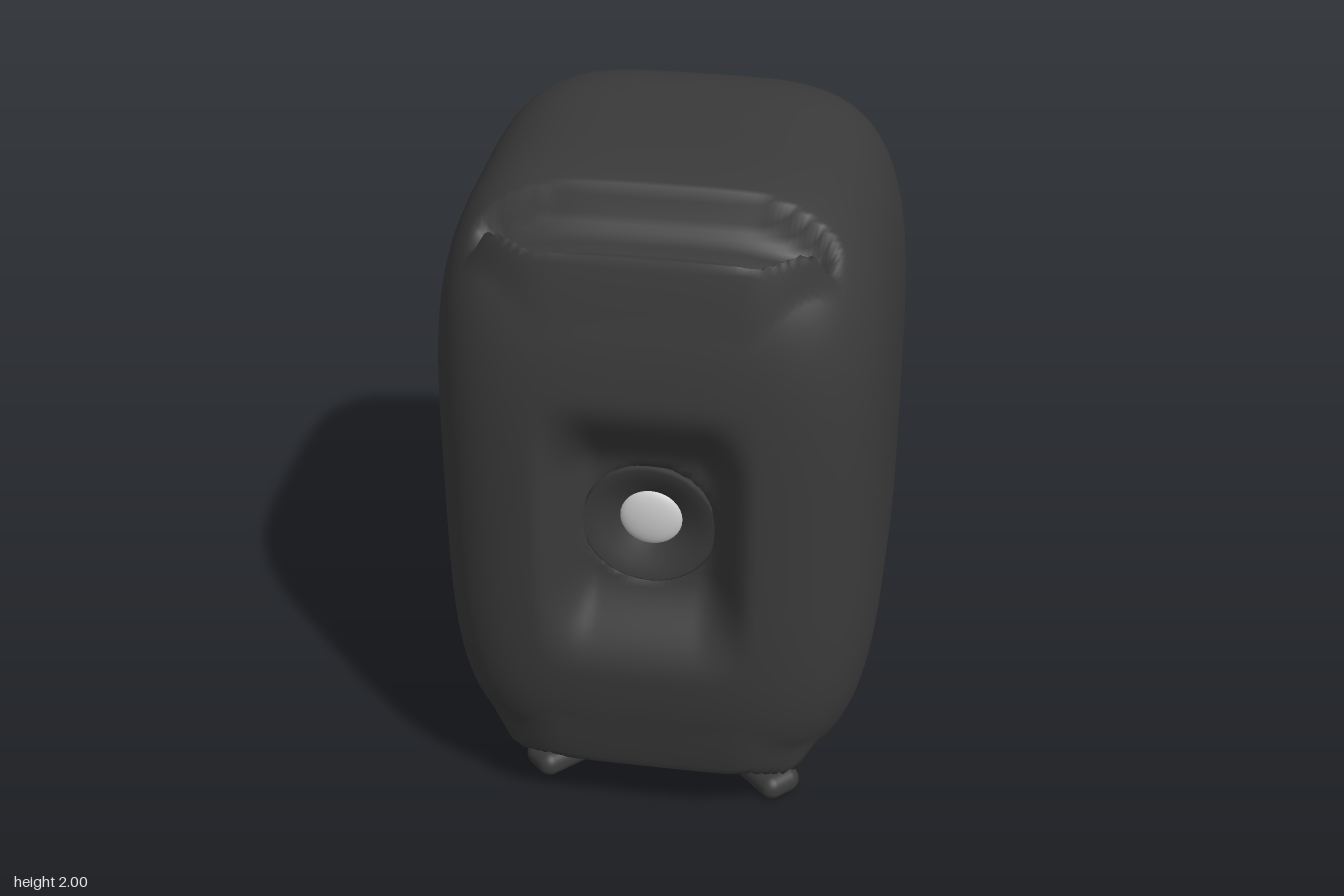
import * as THREE from 'three';
import { mergeVertices } from 'three/addons/utils/BufferGeometryUtils.js';
import { RoundedBoxGeometry } from 'three/addons/geometries/RoundedBoxGeometry.js';

const HALF = { x: 0.62, y: 0.945, z: 0.64 }; // half sizes of the body
const CENTRE_Y = 1.055;
const smooth = THREE.MathUtils.smoothstep;

// Height change across the finger groove: steep back wall, hollow, raised front lip
const GROOVE = [[0.355, 0], [0.375, -0.06], [0.4, -0.082], [0.43, -0.09], [0.49, -0.062],
  [0.53, -0.005], [0.557, 0.072], [0.575, 0.045], [0.6, 0]];

function grooveOffset(x, z) {
  const ax = Math.abs(x);
  // the groove narrows towards its rounded ends
  const end = smooth(ax, 0.25, 0.5);
  const s = (z - 0.355 - 0.035 * end) / (1 - 0.6 * end) + 0.355;
  const fade = 1 - smooth(ax, 0.4, 0.485);
  for (let i = 1; i < GROOVE.length; i++) {
    const [z0, h0] = GROOVE[i - 1], [z1, h1] = GROOVE[i];
    if (s >= z0 && s <= z1) return fade * THREE.MathUtils.lerp(h0, h1, (s - z0) / (z1 - z0));
  }
  return 0;
}

// Soft rectangular dimple on the front, with a deeper pocket behind the lens dish
function dimpleDepth(x, y) {
  const pad = (1 - smooth(Math.abs(x), 0.14, 0.3)) * (1 - smooth(Math.abs(y), 0.16, 0.44));
  const pocket = 1 - smooth(Math.hypot(x, y), 0.13, 0.18);
  return 0.125 * pad + 0.08 * pocket;
}

function bodyGeometry() {
  let geo = new THREE.BoxGeometry(2, 2, 2, 72, 72, 72);
  geo.deleteAttribute('uv');
  geo.deleteAttribute('normal');
  geo = mergeVertices(geo, 1e-4);
  const pos = geo.attributes.position;
  for (let i = 0; i < pos.count; i++) {
    const p = new THREE.Vector3().fromBufferAttribute(pos, i);
    // project the cube on a rounded block of power four
    p.divideScalar(Math.pow(p.x ** 4 + p.y ** 4 + p.z ** 4, 0.25));
    p.set(p.x * HALF.x, p.y * HALF.y, p.z * HALF.z);
    if (p.z > 0.3 && Math.abs(p.y) > 0.55) p.y += Math.sign(p.y) * grooveOffset(p.x, p.z);
    else if (p.z > 0.3) p.z -= dimpleDepth(p.x, p.y);
    pos.setXYZ(i, p.x, p.y, p.z);
  }
  geo.computeVertexNormals();
  return geo;
}

export function createModel() {
  const model = new THREE.Group();
  const dark = new THREE.MeshStandardMaterial({ color: 0x3a3a3a });
  const dishMaterial = new THREE.MeshStandardMaterial({ color: 0x3a3a3a, side: THREE.DoubleSide });
  const grey = new THREE.MeshStandardMaterial({ color: 0xcccccc });
  const add = (name, geometry, material, x, y, z) => {
    const mesh = new THREE.Mesh(geometry, material);
    mesh.name = name;
    mesh.position.set(x, y, z);
    model.add(mesh);
    return mesh;
  };

  add('body', bodyGeometry(), dark, 0, CENTRE_Y, 0);

  // Concave dish around the lens
  const dishProfile = [[0.185, -0.04], [0.185, 0.0], [0.178, 0.006], [0.14, -0.008], [0.1, -0.028], [0.08, -0.04]]
    .map(([r, h]) => new THREE.Vector2(r, h));
  add('lensDish', new THREE.LatheGeometry(dishProfile, 40), dishMaterial, 0, CENTRE_Y, 0.525).rotation.x = Math.PI / 2;

  // Shallow lens dome
  const lens = add('lens', new THREE.SphereGeometry(0.086, 32, 12, 0, Math.PI * 2, 0, Math.PI / 2), grey, 0, CENTRE_Y, 0.485);
  lens.rotation.x = Math.PI / 2;
  lens.scale.y = 0.3;

  // Base plate and two crossed feet
  add('basePlate', new RoundedBoxGeometry(0.6, 0.05, 0.7, 3, 0.012), dark, 0, 0.085, 0);
  for (const side of [-1, 1]) {
    const foot = add(side < 0 ? 'footBarA' : 'footBarB', new RoundedBoxGeometry(1.08, 0.08, 0.13, 4, 0.038), dark, 0, 0.04, 0);
    foot.rotation.y = side * Math.PI / 4;
  }
  return model;
}
